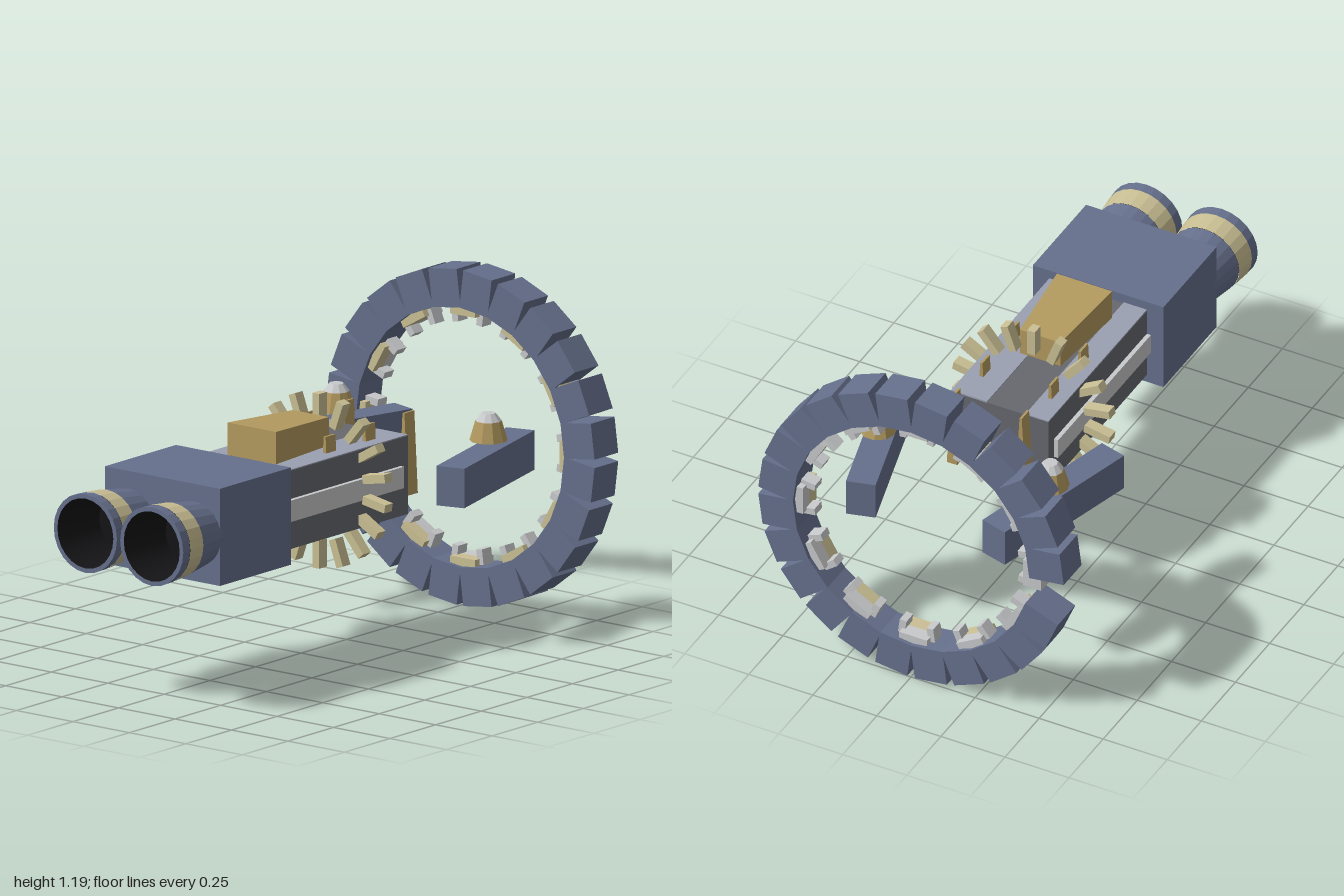
import * as THREE from 'three';

const mat = (name, color, extra = {}) =>
  Object.assign(new THREE.MeshStandardMaterial({ color, ...extra }), { name });

export function createModel() {
  const blue = mat('hull blue', 0x66708c, { flatShading: true });
  const dark = mat('dark grey', 0x67686e);
  const pale = mat('pale blue grey', 0x9aa0b0);
  const light = mat('light grey', 0xc8c9cb, { flatShading: true });
  const cream = mat('cream', 0xcabf94, { flatShading: true });
  const gold = mat('gold', 0xb39a5f, { flatShading: true });
  const black = mat('nozzle black', 0x141416, { side: THREE.DoubleSide });

  const model = new THREE.Group();
  const add = (name, geo, material, x = 0, y = 0, z = 0, parent = model) => {
    const m = new THREE.Mesh(geo, material);
    m.name = name;
    m.position.set(x, y, z);
    parent.add(m);
    return m;
  };
  // box given by its limits on each axis
  const slab = (name, material, x0, x1, y0, y1, z0, z1, parent = model) =>
    add(name, new THREE.BoxGeometry(x1 - x0, y1 - y0, z1 - z0), material,
      (x0 + x1) / 2, (y0 + y1) / 2, (z0 + z1) / 2, parent);
  // group turned about the long axis of the craft; its +y points outwards
  const spoke = (name, degrees) => {
    const g = new THREE.Group();
    g.name = name;
    g.position.y = 0.6;
    g.rotation.x = THREE.MathUtils.degToRad(degrees);
    model.add(g);
    return g;
  };

  // hull
  slab('engineBlock', blue, -0.76, -0.37, 0.43, 0.775, -0.255, 0.255);
  slab('body', dark, -0.37, 0.35, 0.46, 0.738, -0.19, 0.19);
  slab('deckRight', pale, -0.37, 0.35, 0.736, 0.742, -0.19, -0.1);
  slab('deckLeft', pale, -0.37, 0.35, 0.736, 0.742, 0.05, 0.19);
  slab('sideRails', light, -0.37, 0.31, 0.562, 0.638, -0.206, 0.206);

  // cabin tapering towards the ring
  const cabin = new THREE.BoxGeometry(0.325, 0.115, 0.215);
  const cp = cabin.attributes.position;
  for (let i = 0; i < cp.count; i++) {
    if (cp.getX(i) > 0) {
      cp.setZ(i, cp.getZ(i) * 0.74);
      if (cp.getY(i) > 0) cp.setY(i, 0.043);
    }
  }
  cabin.computeVertexNormals();
  add('cabin', cabin, gold, -0.108, 0.801, 0);

  // engine nozzles: open bells along x with a cream band
  const bell = (r0, r1, x0, x1) => {
    const g = new THREE.CylinderGeometry(r0, r1, x1 - x0, 24, 1, true);
    g.rotateZ(Math.PI / 2); // top of the cylinder goes to -x
    g.translate((x0 + x1) / 2, 0, 0);
    return g;
  };
  for (const s of [-1, 1]) {
    const engine = new THREE.Group();
    engine.name = s > 0 ? 'leftEngine' : 'rightEngine';
    engine.position.set(0, 0.6, s * 0.147);
    model.add(engine);
    add('nozzleRear', bell(0.14, 0.138, -1, -0.96), blue, 0, 0, 0, engine);
    add('nozzleBand', bell(0.139, 0.132, -0.96, -0.88), cream, 0, 0, 0, engine);
    add('nozzleFront', bell(0.131, 0.11, -0.88, -0.74), blue, 0, 0, 0, engine);
    add('nozzleInside', bell(0.124, 0.1, -1, -0.8), black, 0, 0, 0, engine);
    const lip = new THREE.RingGeometry(0.124, 0.14, 24);
    lip.rotateY(-Math.PI / 2);
    add('nozzleLip', lip, blue, -1, 0, 0, engine);
    const back = new THREE.CircleGeometry(0.1, 24);
    back.rotateY(-Math.PI / 2);
    add('nozzleBack', back, black, -0.8, 0, 0, engine);
  }

  // segmented ring with one segment missing
  for (let i = 0; i < 24; i++) {
    if (i === 17) continue;
    slab('ringSegment', blue, 0.87, 1, 0.457, 0.593, -0.063, 0.063, spoke('ringSpoke', 7.5 + 15 * i));
  }
  // clips on the inside of the ring
  for (let i = 0; i < 12; i++) {
    const g = spoke('ringClip', 30 * i);
    slab('clipPlate', light, 0.935, 0.985, 0.43, 0.5, -0.055, 0.055, g);
    slab('clipPad', cream, 0.885, 0.935, 0.43, 0.5, -0.055, 0.055, g);
    for (const s of [-1, 1]) {
      slab('clipLeg', light, 0.91, 0.96, 0.4, 0.455, -0.013, 0.013, spoke('clipSpoke', 30 * i + s * 7.5));
    }
  }

  // fan of fins around the body
  for (let i = 0; i < 18; i++) {
    slab('radialFin', cream, 0.08, 0.122, 0.21, 0.31, -0.015, 0.015, spoke('finSpoke', 20 * i));
  }

  for (const s of [-1, 1]) {
    // arms angled in towards the ring
    const arm = add('arm', new THREE.BoxGeometry(0.6, 0.14, 0.105), blue, 0.592, 0.6, s * 0.338);
    arm.rotation.y = s * 0.265;

    // beacon above each arm
    add('beaconBase', new THREE.CylinderGeometry(0.046, 0.066, 0.07, 10), gold, 0.61, 0.73, s * 0.337);
    add('beaconCap', new THREE.CylinderGeometry(0.025, 0.046, 0.027, 10), light, 0.61, 0.7785, s * 0.337);

    // tapered upright blades
    for (const x of [-0.01, 0.207, 0.422]) {
      const blade = new THREE.BoxGeometry(0.054, 0.29, 0.04);
      const p = blade.attributes.position;
      for (let i = 0; i < p.count; i++) if (p.getY(i) > 0) p.setZ(i, p.getZ(i) * 0.22);
      blade.computeVertexNormals();
      add('blade', blade, gold, x, 0.655, s * 0.134);
    }
  }
  return model;
}
